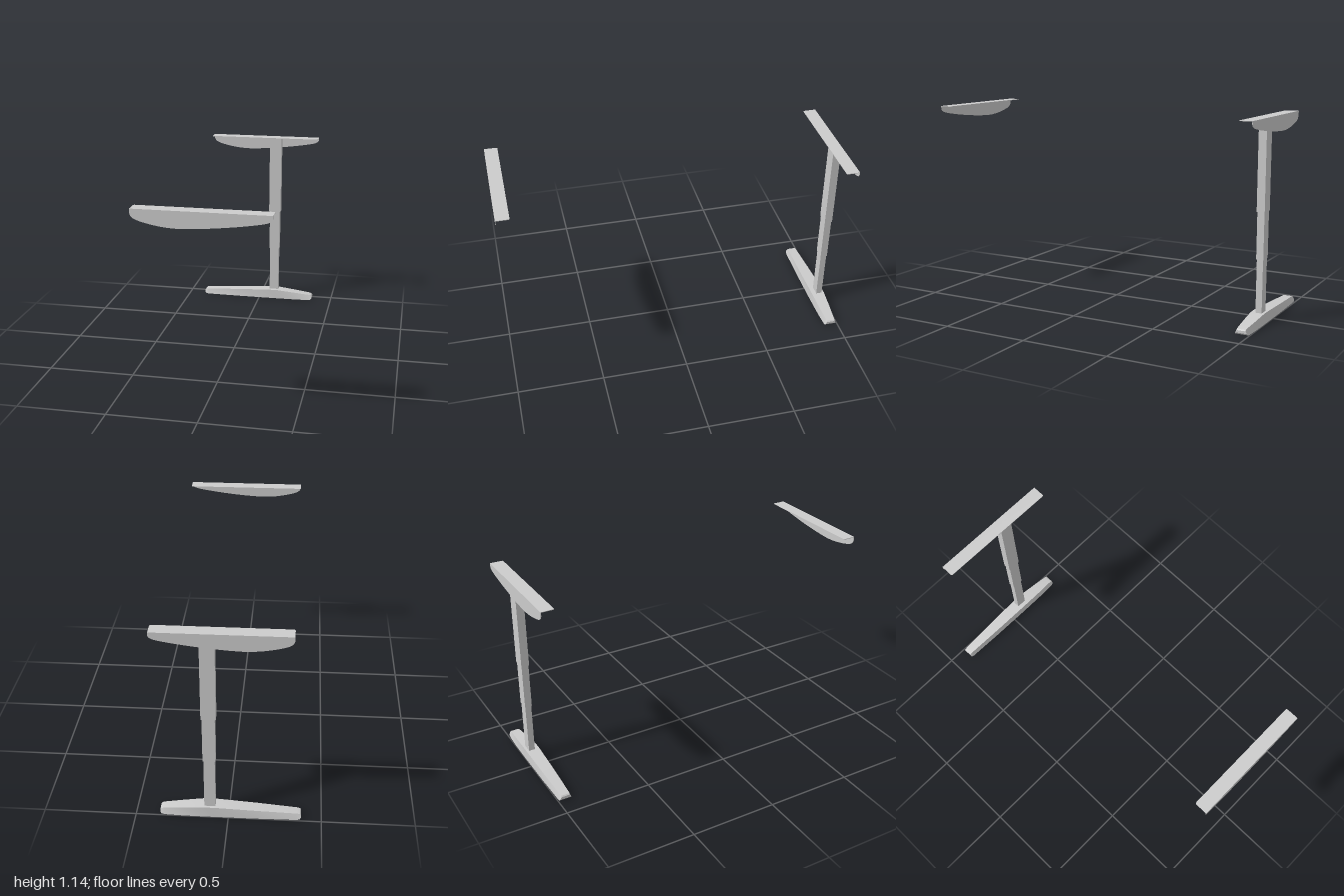
import * as THREE from 'three';
import { toCreasedNormals } from 'three/addons/utils/BufferGeometryUtils.js';

const T = 0.003; // sheet thickness
const TOP = 1.137;
const material = new THREE.MeshStandardMaterial({ color: 0xcccccc, side: THREE.DoubleSide });

function addMesh(parent, name, geometry) {
  const mesh = new THREE.Mesh(geometry, material);
  mesh.name = name;
  parent.add(mesh);
  return mesh;
}

// L-shaped sheet bracket: curved upright web on the outside, flat flange inwards
function createBracket(name, side) {
  const bracket = new THREE.Group();
  bracket.name = name;

  const web = new THREE.Shape();
  web.moveTo(-0.33, TOP);
  web.lineTo(-0.33, 1.118);
  web.bezierCurveTo(-0.328, 1.095, -0.31, 1.085, -0.285, 1.077);
  web.bezierCurveTo(-0.23, 1.06, -0.15, 1.046, -0.08, 1.047);
  web.bezierCurveTo(0.05, 1.05, 0.24, 1.073, 0.34, 1.093);
  web.bezierCurveTo(0.37, 1.1, 0.385, 1.108, 0.385, 1.122);
  web.lineTo(0.385, TOP);
  const webGeo = new THREE.ExtrudeGeometry(web, { depth: T, bevelEnabled: false, curveSegments: 12 });
  webGeo.translate(0, 0, side > 0 ? 1 - T : -1);
  addMesh(bracket, 'web', toCreasedNormals(webGeo, 0.6));

  const r = 0.01, inner = 0.076;
  const flange = new THREE.Shape();
  flange.moveTo(-0.33, 0);
  flange.lineTo(0.385, 0);
  flange.lineTo(0.385, inner - r);
  flange.quadraticCurveTo(0.385, inner, 0.385 - r, inner);
  flange.lineTo(-0.33 + r, inner);
  flange.quadraticCurveTo(-0.33, inner, -0.33, inner - r);
  const flangeGeo = new THREE.ExtrudeGeometry(flange, { depth: T, bevelEnabled: false, curveSegments: 6 });
  // lay the flange flat, running from the web towards the middle
  flangeGeo.rotateX(side > 0 ? -Math.PI / 2 : Math.PI / 2);
  flangeGeo.translate(0, side > 0 ? TOP - T : TOP, side);
  addMesh(bracket, 'flange', toCreasedNormals(flangeGeo, 0.6));
  return bracket;
}

// Tapered foot lofted along x from trapezoid sections: [x, bottom y, top y, bottom half width, top half width]
function createFoot() {
  const sections = [
    [-0.39, 0.012, 0.026, 0.033, 0.025],
    [-0.384, 0.004, 0.032, 0.036, 0.025],
    [-0.368, 0, 0.035, 0.037, 0.026],
    [-0.15, 0, 0.048, 0.041, 0.034],
    [0.07, 0, 0.06, 0.042, 0.039],
    [0.13, 0, 0.06, 0.042, 0.039],
    [0.25, 0, 0.047, 0.041, 0.033],
    [0.347, 0, 0.036, 0.037, 0.026],
    [0.363, 0.004, 0.032, 0.036, 0.025],
    [0.369, 0.012, 0.026, 0.033, 0.025],
  ];
  const positions = [], index = [];
  for (const [x, y0, y1, wb, wt] of sections) {
    positions.push(x, y0, wb, x, y1, wt, x, y1, -wt, x, y0, -wb);
  }
  for (let i = 0; i < sections.length - 1; i++) {
    for (let j = 0; j < 4; j++) {
      const a = i * 4 + j, b = i * 4 + (j + 1) % 4;
      index.push(a, a + 4, b, b, a + 4, b + 4);
    }
  }
  const e = (sections.length - 1) * 4;
  index.push(0, 1, 2, 0, 2, 3, e, e + 2, e + 1, e, e + 3, e + 2);
  const geo = new THREE.BufferGeometry();
  geo.setAttribute('position', new THREE.Float32BufferAttribute(positions, 3));
  geo.setIndex(index);
  geo.computeVertexNormals();
  return toCreasedNormals(geo, 0.5);
}

export function createModel() {
  const model = new THREE.Group();
  model.name = 'deskFrame';
  model.add(createBracket('frontBracket', 1), createBracket('backBracket', -1));

  // Telescopic column: [name, width, depth, bottom, top]
  const stages = [
    ['upperColumn', 0.078, 0.046, 0.625, TOP],
    ['middleColumn', 0.068, 0.041, 0.36, 0.63],
    ['lowerColumn', 0.06, 0.036, 0.05, 0.365],
  ];
  for (const [name, w, d, y0, y1] of stages) {
    addMesh(model, name, new THREE.BoxGeometry(w, y1 - y0, d)).position.set(0.1, (y0 + y1) / 2, -0.963);
  }

  addMesh(model, 'foot', createFoot()).position.z = -0.957;
  return model;
}
